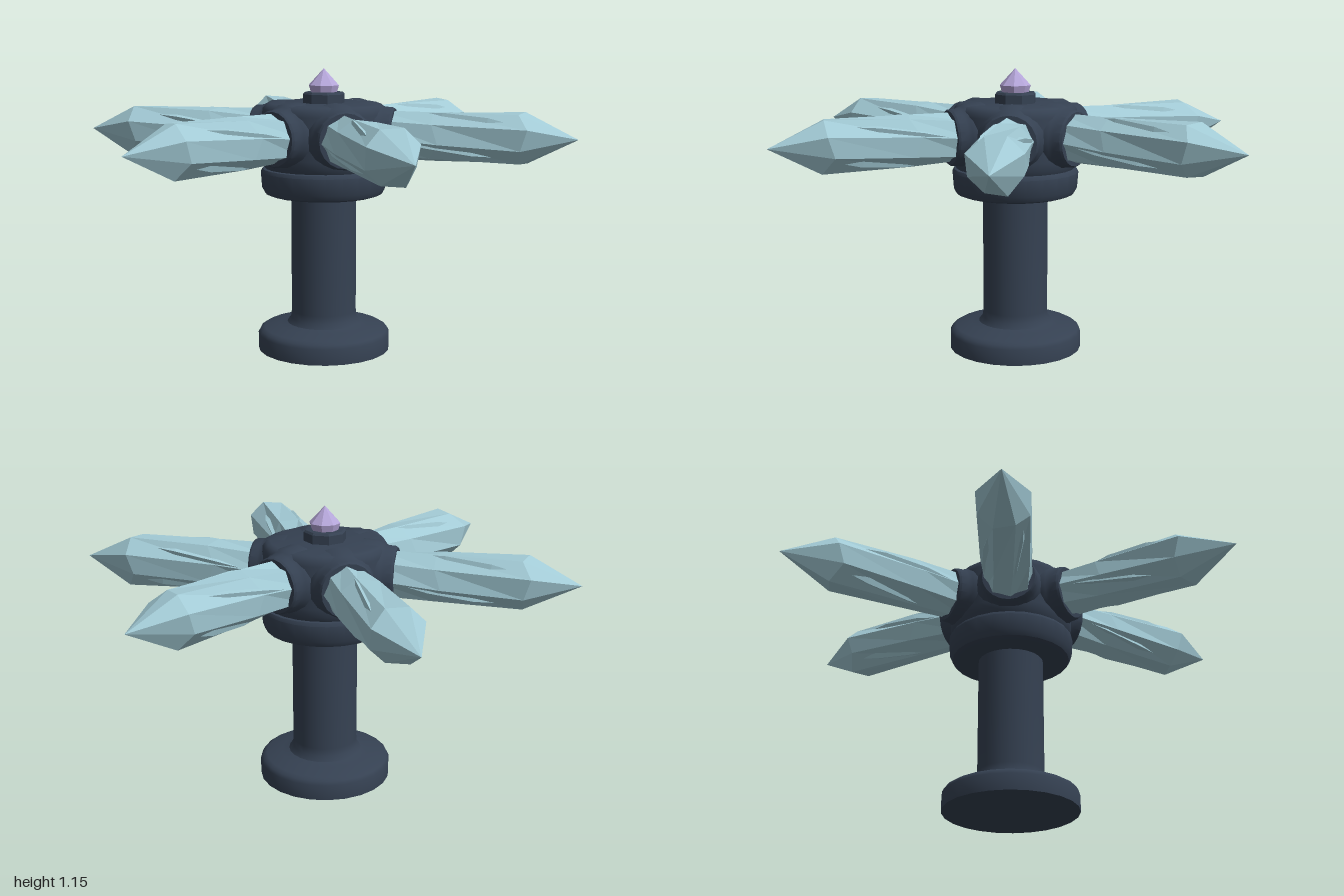
import * as THREE from 'three';
import { toCreasedNormals } from 'three/addons/utils/BufferGeometryUtils.js';

const iron = new THREE.MeshStandardMaterial({ color: 0x354152 });
iron.name = 'dark iron';
const ice = new THREE.MeshStandardMaterial({ color: 0xa2cad5 });
ice.name = 'pale blue crystal';
const violet = new THREE.MeshStandardMaterial({ color: 0xb4a5d8 });
violet.name = 'violet gem';

function add(parent, name, geometry, material) {
  const mesh = new THREE.Mesh(geometry, material);
  mesh.name = name;
  parent.add(mesh);
  return mesh;
}

// Turned solid from [radius, height] pairs, listed from the bottom up
function lathe(points, sides, crease = 0.6) {
  const profile = points.map(([r, y]) => new THREE.Vector2(r, y));
  return toCreasedNormals(new THREE.LatheGeometry(profile, sides), crease);
}

// Faceted crystal along +y: rings of [radius, height, twist], closing to a tip
function crystal(rings, tip, sides, jitter) {
  const pos = [];
  const index = [];
  rings.forEach(([r, y, twist], j) => {
    for (let i = 0; i < sides; i++) {
      const a = (i / sides) * Math.PI * 2 + twist;
      const k = Math.sin(i * 2.4 + j * 1.7);
      const rr = r * (1 + 0.05 * jitter * k);
      pos.push(Math.sin(a) * rr, y + 0.025 * jitter * k * (j > 0 ? 1 : 0), Math.cos(a) * rr);
    }
  });
  const apex = pos.length / 3;
  pos.push(0, tip, 0);
  for (let j = 0; j < rings.length; j++) {
    for (let i = 0; i < sides; i++) {
      const a = j * sides + i;
      const b = j * sides + (i + 1) % sides;
      if (j === rings.length - 1) index.push(a, b, apex);
      else index.push(a, b, b + sides, a, b + sides, a + sides);
    }
  }
  const g = new THREE.BufferGeometry();
  g.setAttribute('position', new THREE.Float32BufferAttribute(pos, 3));
  g.setIndex(index);
  const flat = g.toNonIndexed();
  flat.computeVertexNormals();
  return flat;
}

export function createModel() {
  const model = new THREE.Group();
  model.name = 'crystalWheelPedestal';

  // Foot, column and collar
  add(model, 'pedestal', lathe([
    [0, 0], [0.27, 0], [0.27, 0.065], [0.262, 0.08], [0.245, 0.09], [0.18, 0.1],
    [0.15, 0.11], [0.135, 0.13], [0.132, 0.16], [0.132, 0.64], [0.215, 0.64],
    [0.238, 0.648], [0.25, 0.67], [0.255, 0.735], [0.248, 0.748], [0.22, 0.755], [0, 0.755],
  ], 24), iron);

  // Hub drum
  add(model, 'hub', lathe([
    [0, 0.745], [0.235, 0.745], [0.248, 0.77], [0.25, 0.8], [0.25, 0.97],
    [0.245, 0.99], [0.232, 1.005], [0.215, 1.01], [0, 1.01],
  ], 24), iron);

  // Gem mount and gem on top
  const mount = add(model, 'gemMount', lathe([
    [0, 1], [0.085, 1], [0.085, 1.045], [0.078, 1.053], [0, 1.053],
  ], 8, 0.2), iron);
  mount.rotation.y = Math.PI / 8;
  add(model, 'topGem', crystal([[0.05, 1.04, 0], [0.062, 1.08, 0]], 1.147, 8, 0), violet);

  // Six arms, each a socket holding a crystal
  const socketGeometry = lathe([
    [0.135, 0.15], [0.132, 0.215], [0.121, 0.235], [0.114, 0.25],
    [0.112, 0.28], [0.106, 0.288], [0.075, 0.288],
  ], 20);
  const crystalGeometry = crystal([
    [0.095, 0.2, 0], [0.101, 0.45, 0.22], [0.106, 0.79, 0.4],
  ], 1, 8, 0.8);
  const shardGeometry = crystal([
    [0.004, -0.2, 0], [0.022, -0.08, 0], [0.022, 0.1, 0],
  ], 0.22, 4, 0);

  for (let k = 0; k < 6; k++) {
    const arm = new THREE.Group();
    arm.name = 'arm' + (k + 1);
    arm.position.y = 0.885;
    arm.rotation.set(0, k * Math.PI / 3, -Math.PI / 2);
    model.add(arm);
    add(arm, 'socket', socketGeometry, iron);
    add(arm, 'armCrystal', crystalGeometry, ice);

    // Slanted slivers breaking the crystal's sides
    for (let s = 0; s < 4; s++) {
      const holder = new THREE.Group();
      holder.name = 'sliverHolder';
      holder.rotation.y = s * Math.PI / 2 + 0.5;
      arm.add(holder);
      const sliver = add(holder, 'sliver', shardGeometry, ice);
      sliver.position.set(0, 0.5 + 0.06 * (s % 2), 0.081);
      sliver.rotation.z = -0.17;
    }
  }
  // Arm rotations apply the lay-down first, then the turn around the hub
  model.children.forEach((part) => {
    if (part.name.startsWith('arm')) part.rotation.order = 'YXZ';
  });
  return model;
}
